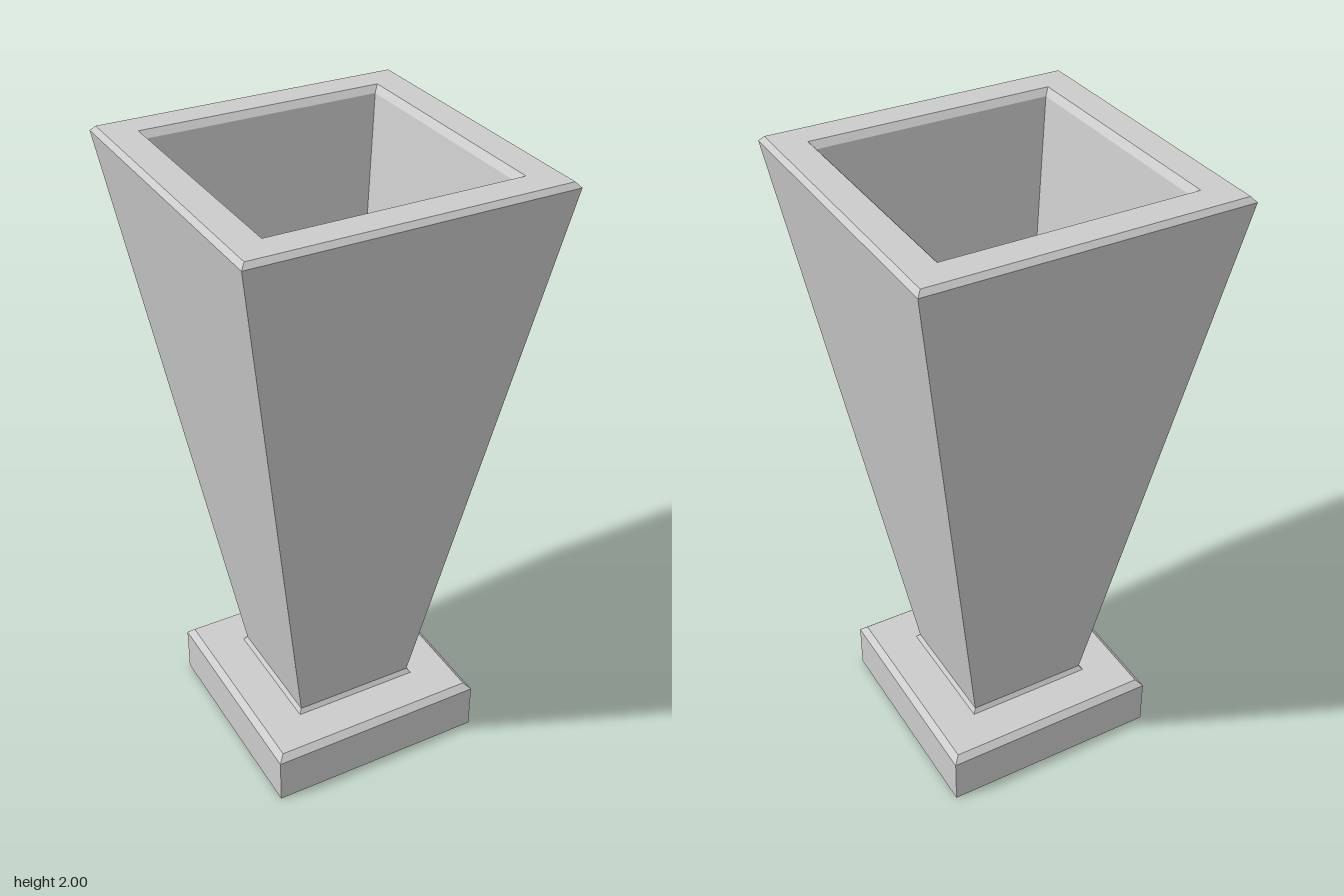
import * as THREE from 'three';

// Square shell from a profile of [half width, height] pairs
function squareShell(name, profile, material) {
  const points = profile.map(([half, y]) => new THREE.Vector2(half * Math.SQRT2, y));
  const mesh = new THREE.Mesh(new THREE.LatheGeometry(points, 4, Math.PI / 4), material);
  mesh.name = name;
  return mesh;
}

export function createModel() {
  const group = new THREE.Group();
  group.name = 'squareVase';
  const material = new THREE.MeshStandardMaterial({
    color: 0xcccccc, flatShading: true, side: THREE.DoubleSide,
  });

  // Hollow plinth, open below, with a bevelled top and a small flare up to the body
  group.add(squareShell('plinth', [
    [0.358, 0], [0.358, 0.155], [0.338, 0.175], [0.21, 0.175], [0.2, 0.19],
  ], material));

  // Tapered body: closed underside, outer wall, bevelled rim, inner wall, floor
  group.add(squareShell('body', [
    [0, 0.19], [0.2, 0.19], [0.493, 1.985], [0.479, 2],
    [0.387, 2], [0.37, 1.98], [0.143, 0.25], [0, 0.25],
  ], material));

  return group;
}
